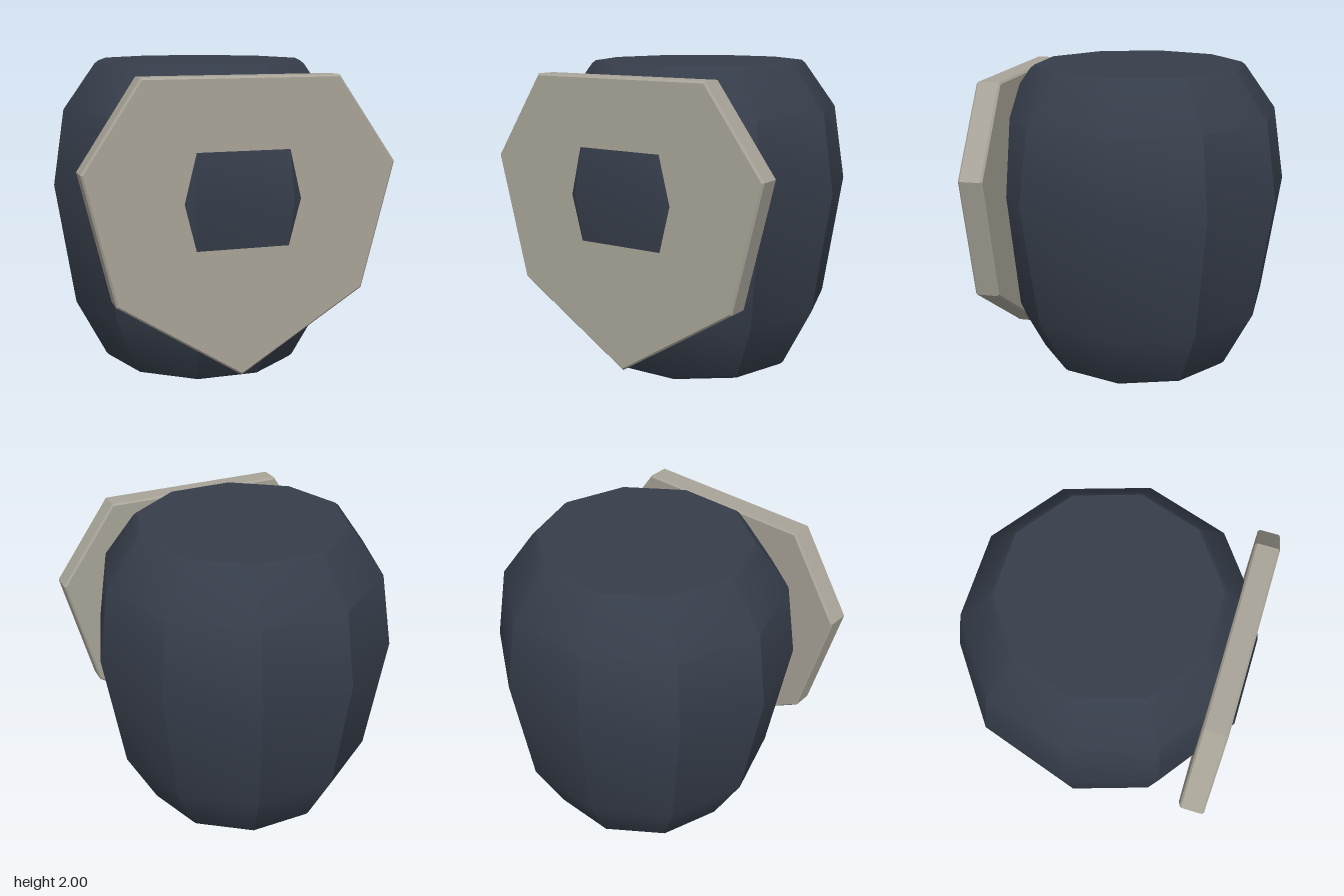
import * as THREE from 'three';
import { toCreasedNormals } from 'three/addons/utils/BufferGeometryUtils.js';

export function createModel() {
  const model = new THREE.Group();
  model.name = 'shieldedBarrel';

  const slate = new THREE.MeshStandardMaterial({ name: 'dark slate', color: 0x363d4a });
  const stone = new THREE.MeshStandardMaterial({ name: 'pale stone', color: 0xa8a498 });

  // Ten-sided barrel, with a corner on each side and a flat facing forward
  const profile = [
    [0, 0], [0.645, 0], [0.665, 0.02], [0.865, 0.4], [0.992, 1.2],
    [0.918, 1.69], [0.71, 1.98], [0.685, 2], [0, 2],
  ].map(([r, y]) => new THREE.Vector2(r, y));
  const barrel = new THREE.LatheGeometry(profile, 10, Math.PI / 2);
  const body = new THREE.Mesh(toCreasedNormals(barrel, 0.52), slate);
  body.name = 'barrelBody';
  model.add(body);

  // Seven-sided front plate with a fine chamfer; the barrel pokes through it
  const outline = new THREE.Shape([
    [0, 0.11], [0.79, 0.605], [0.99, 1.4], [0.605, 1.94],
    [-0.62, 1.94], [-0.975, 1.4], [-0.78, 0.605],
  ].map(([x, y]) => new THREE.Vector2(x, y)));
  const bevel = 0.012, back = 0.745, front = 0.9;
  const slab = new THREE.ExtrudeGeometry(outline, {
    depth: front - back - 2 * bevel,
    bevelEnabled: true,
    bevelSize: bevel,
    bevelThickness: bevel,
    bevelOffset: -bevel,
    bevelSegments: 1,
  });
  slab.translate(0, 0, back + bevel);
  const plate = new THREE.Mesh(slab, stone);
  plate.name = 'frontPlate';
  model.add(plate);

  return model;
}
